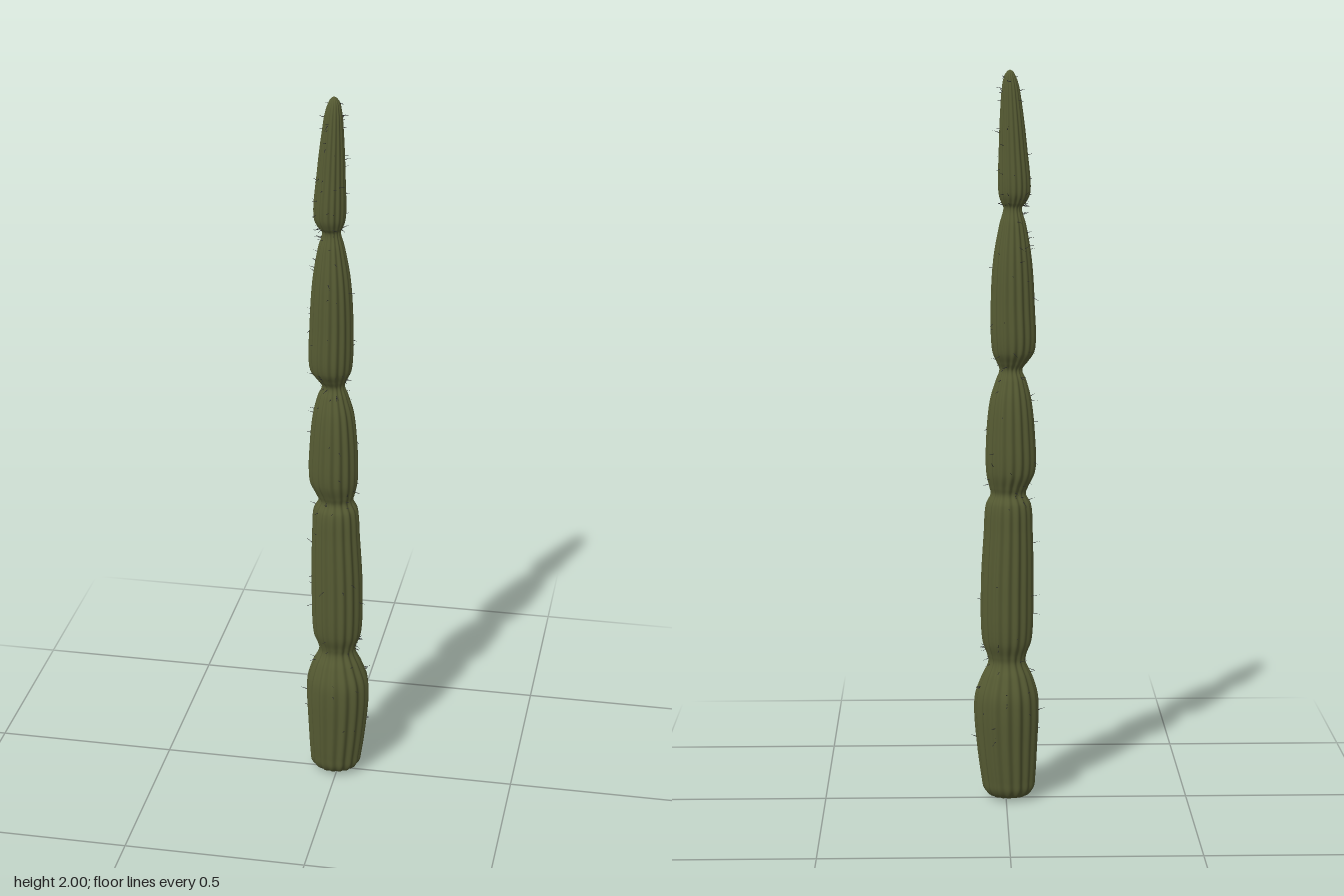
import * as THREE from 'three';
import { mergeGeometries } from 'three/addons/utils/BufferGeometryUtils.js';

const RIBS = 16, AROUND = RIBS * 8, ROWS = 240;

// Stem outline: height, left edge, right edge
const OUTLINE = [
  [0.004, -0.035, 0.02], [0.012, -0.062, 0.047], [0.03, -0.077, 0.062], [0.06, -0.081, 0.068],
  [0.15, -0.086, 0.08], [0.25, -0.09, 0.088], [0.3, -0.087, 0.085], [0.35, -0.072, 0.067],
  [0.39, -0.054, 0.049], [0.41, -0.056, 0.052], [0.45, -0.07, 0.065], [0.6, -0.075, 0.069], [0.75, -0.073, 0.061],
  [0.83, -0.068, 0.055], [0.86, -0.054, 0.042], [0.88, -0.061, 0.046], [0.92, -0.079, 0.054],
  [1.03, -0.078, 0.053], [1.12, -0.068, 0.043], [1.17, -0.055, 0.028], [1.2, -0.044, 0.018],
  [1.22, -0.058, 0.025], [1.25, -0.077, 0.037], [1.38, -0.077, 0.041], [1.5, -0.069, 0.034],
  [1.59, -0.054, 0.018], [1.635, -0.043, 0.007], [1.65, -0.054, 0.013], [1.675, -0.065, 0.02],
  [1.8, -0.056, 0.019], [1.9, -0.044, 0.015], [1.96, -0.034, 0.01], [1.985, -0.025, 0.004],
  [1.996, -0.018, -0.004], [2.0, -0.011, -0.011],
];
const spine = new THREE.CatmullRomCurve3(
  OUTLINE.map(([y, l, r]) => new THREE.Vector3((l + r) / 2, y, (r - l) / 2)), false, 'centripetal');

// Point on the ribbed skin: t runs up the stem, a around it
function skin(t, a) {
  const p = spine.getPoint(t);
  const r = Math.max(p.z, 0) * (0.955 + 0.045 * Math.cos(a * RIBS));
  const depth = 0.85 + 0.08 * p.y;
  return new THREE.Vector3(p.x + r * Math.cos(a), p.y, -r * depth * Math.sin(a));
}

function stemGeometry() {
  const pos = [-0.008, 0, 0], index = [];
  for (let j = 0; j <= ROWS; j++)
    for (let i = 0; i < AROUND; i++)
      pos.push(...skin(j / ROWS, i / AROUND * Math.PI * 2).toArray());
  for (let i = 0; i < AROUND; i++) {
    const n = (i + 1) % AROUND;
    index.push(0, 1 + n, 1 + i); // underside
    for (let j = 0; j < ROWS; j++) {
      const a = 1 + j * AROUND + i, b = 1 + j * AROUND + n;
      index.push(a, b, b + AROUND, a, b + AROUND, a + AROUND);
    }
  }
  const g = new THREE.BufferGeometry();
  g.setAttribute('position', new THREE.Float32BufferAttribute(pos, 3));
  g.setIndex(index);
  g.computeVertexNormals();
  return g;
}

function needleGeometry() {
  let seed = 7;
  const rand = () => (seed = (seed * 16807) % 2147483647) / 2147483647;
  const up = new THREE.Vector3(0, 1, 0), needles = [];
  // Scattered needles standing on the rib crests
  for (let k = 0; k < 190; k++) {
    const t = 0.12 + 0.82 * rand();
    const a = Math.floor(rand() * RIBS) / RIBS * Math.PI * 2;
    const length = 0.01 + 0.016 * rand();
    const dir = new THREE.Vector3(
      Math.cos(a) + rand() - 0.5, (rand() - 0.5) * 1.1, -Math.sin(a) + rand() - 0.5).normalize();
    const g = new THREE.ConeGeometry(0.0012, length, 5);
    g.translate(0, length / 2 - 0.002, 0);
    g.applyQuaternion(new THREE.Quaternion().setFromUnitVectors(up, dir));
    const p = skin(t, a);
    g.translate(p.x, p.y, p.z);
    needles.push(g);
  }
  return mergeGeometries(needles);
}

export function createModel() {
  const model = new THREE.Group();
  model.name = 'columnCactus';
  const add = (name, geometry, color) => {
    const mesh = new THREE.Mesh(geometry, new THREE.MeshStandardMaterial({ color }));
    mesh.name = name;
    model.add(mesh);
  };
  add('ribbedStem', stemGeometry(), 0x565b33);
  add('needles', needleGeometry(), 0x2a2a2c);
  return model;
}
